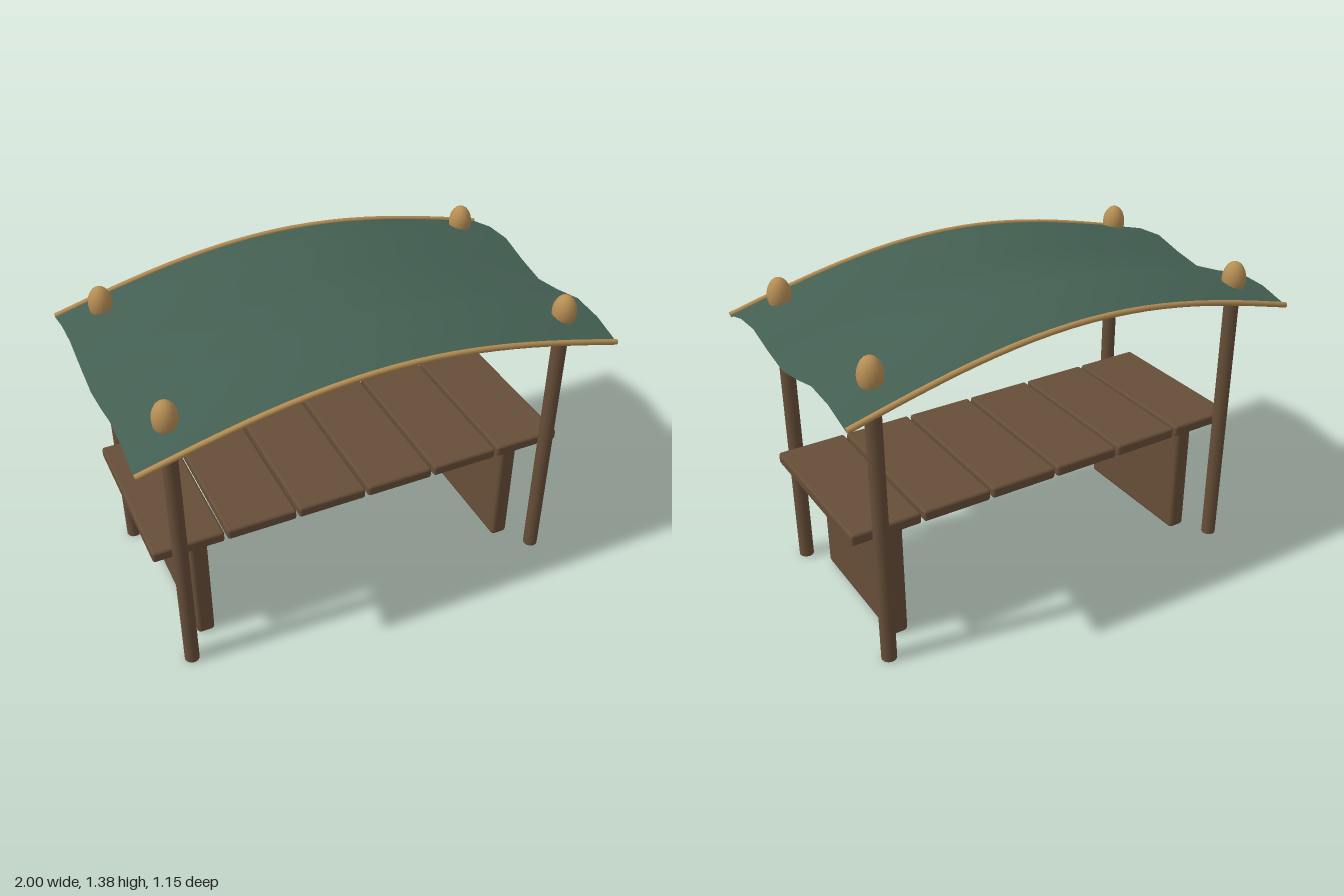
import * as THREE from 'three';
import { RoundedBoxGeometry } from 'three/addons/geometries/RoundedBoxGeometry.js';

const wood = new THREE.MeshStandardMaterial({ color: 0x664e38 });
const cloth = new THREE.MeshStandardMaterial({ color: 0x45604f, side: THREE.DoubleSide });
cloth.color.set(0x446053);
const gold = new THREE.MeshStandardMaterial({ color: 0xb68e54 });

// Drop of the arched roof at x, and ridge heights from the middle (z = 0) to the edge
const archDrop = (x) => 0.17 * (1 - Math.cos((Math.PI / 2) * x));
const ridge = [1.32, 1.345, 1.38, 1.371, 1.333];
const HALF_DEPTH = 0.563;

function addMesh(parent, name, geometry, material, x = 0, y = 0, z = 0) {
  const mesh = new THREE.Mesh(geometry, material);
  mesh.name = name;
  mesh.position.set(x, y, z);
  parent.add(mesh);
  return mesh;
}

// Pole that follows the arch of the roof
function archedTube(halfLength, topY, radius) {
  const points = [];
  for (let i = 0; i <= 8; i++) {
    const x = halfLength * (i / 4 - 1);
    points.push(new THREE.Vector3(x, topY - archDrop(x), 0));
  }
  return new THREE.TubeGeometry(new THREE.CatmullRomCurve3(points), 24, radius, 8);
}

function addArchedPole(parent, name, halfLength, topY, radius, z, material) {
  const pole = new THREE.Group();
  pole.name = name;
  pole.position.z = z;
  addMesh(pole, name + 'Rod', archedTube(halfLength, topY, radius), material);
  // End discs close the tube
  for (const s of [-1, 1]) {
    const disc = addMesh(pole, name + 'End', new THREE.CircleGeometry(radius, 8), material,
      s * halfLength, topY - archDrop(halfLength), 0);
    const slope = 0.17 * (Math.PI / 2) * Math.sin((Math.PI / 2) * halfLength);
    disc.rotation.set(0, s * Math.PI / 2, -s * Math.atan(slope), 'ZYX');
  }
  parent.add(pole);
}

export function createModel() {
  const model = new THREE.Group();
  model.name = 'marketStall';

  // Counter: six planks on two side panels
  const counter = new THREE.Group();
  counter.name = 'counter';
  model.add(counter);
  for (let i = 0; i < 6; i++) {
    addMesh(counter, 'plank', new RoundedBoxGeometry(0.3, 0.05, 0.726, 2, 0.012), wood,
      (i - 2.5) * 0.3125, 0.565, 0);
  }
  for (const s of [-1, 1]) {
    addMesh(counter, 'sidePanel', new RoundedBoxGeometry(0.078, 0.54, 0.624, 2, 0.018), wood,
      s * 0.729, 0.27, 0);
  }

  // Corner posts with egg-shaped finials
  for (const sx of [-1, 1]) {
    for (const sz of [-1, 1]) {
      const corner = new THREE.Group();
      corner.name = 'cornerPost';
      corner.position.set(sx * 0.833, 0, sz * 0.417);
      addMesh(corner, 'post', new THREE.CylinderGeometry(0.032, 0.032, 1.22, 12), wood, 0, 0.61, 0);
      addMesh(corner, 'finial', new THREE.SphereGeometry(0.05, 16, 12), gold, 0, 1.268, 0)
        .scale.y = 1.5;
      model.add(corner);
    }
  }

  // Cloth roof: arched along x, two soft ridges along z
  const roof = new THREE.PlaneGeometry(2, HALF_DEPTH * 2, 16, 8).rotateX(-Math.PI / 2);
  const p = roof.attributes.position;
  for (let i = 0; i < p.count; i++) {
    const step = Math.round((Math.abs(p.getZ(i)) / HALF_DEPTH) * 4);
    p.setY(i, ridge[step] - archDrop(p.getX(i)));
  }
  roof.computeVertexNormals();
  addMesh(model, 'clothRoof', roof, cloth);

  // Roof beams over the posts and trim along the cloth edges
  for (const s of [-1, 1]) {
    addArchedPole(model, 'roofBeam', 0.935, 1.334, 0.026, s * 0.417, wood);
    addArchedPole(model, 'roofTrim', 0.998, 1.334, 0.012, s * 0.563, gold);
  }
  return model;
}
